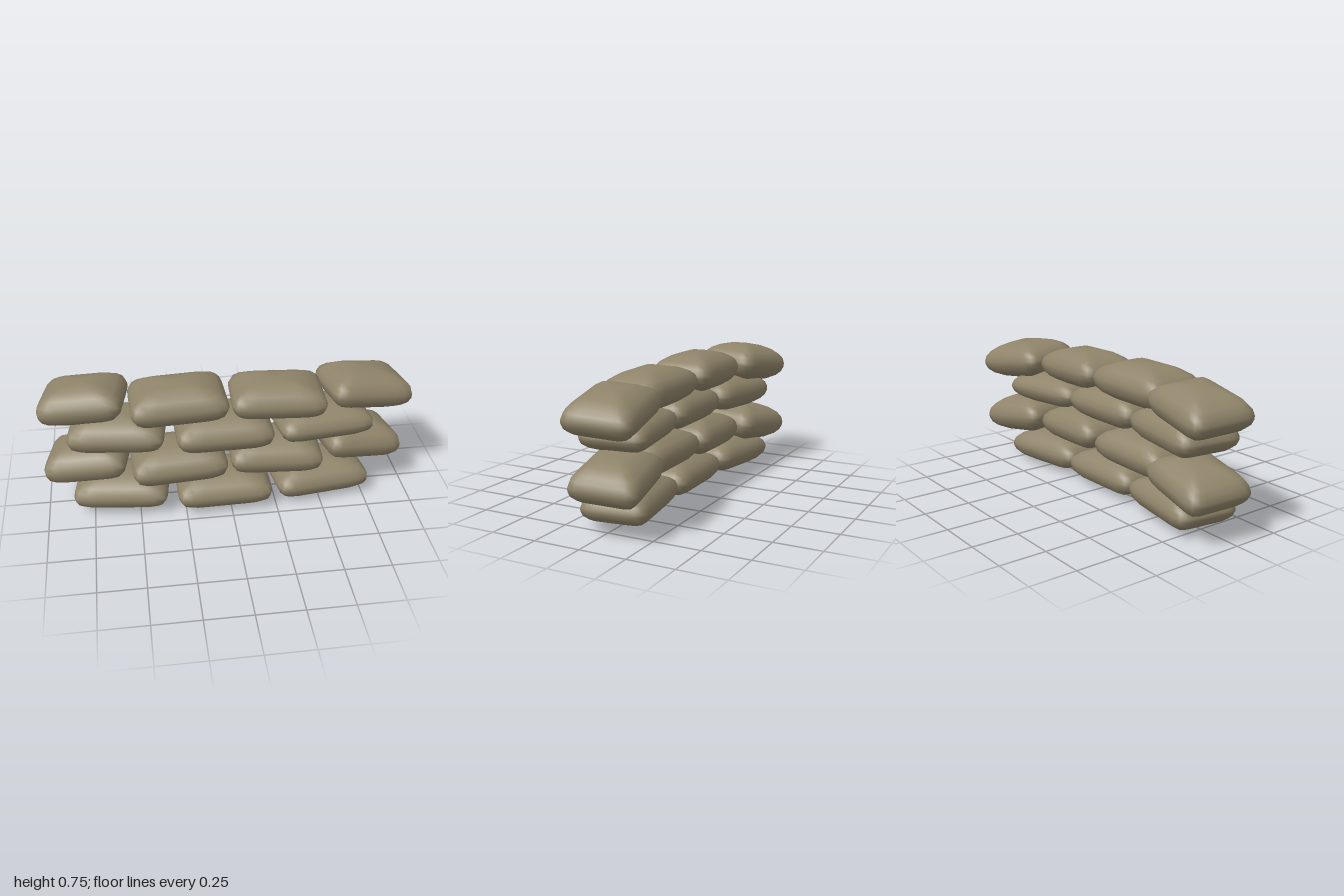
import * as THREE from 'three';
import { mergeVertices } from 'three/addons/utils/BufferGeometryUtils.js';

// Unit pillow: a lathe squared off in plan, with tapered ends and nearly flat top and bottom
function pillowGeometry() {
  const half = [[0, 1.0], [0.35, 0.98], [0.61, 0.84], [0.83, 0.61], [0.95, 0.37], [1, 0.09]];
  const profile = [
    ...half.map(([s, y]) => new THREE.Vector2(s, -y)),
    ...half.slice().reverse().map(([s, y]) => new THREE.Vector2(s, y)),
  ];
  const geometry = new THREE.LatheGeometry(profile, 40);
  const pos = geometry.attributes.position;
  const p = 10;
  for (let i = 0; i < pos.count; i++) {
    const x = pos.getX(i), z = pos.getZ(i), r = Math.hypot(x, z);
    if (r < 1e-6) continue;
    const k = 1 / Math.pow(Math.abs(x / r) ** p + Math.abs(z / r) ** p, 1 / p);
    pos.setX(i, x * k);
    pos.setZ(i, z * k);
  }
  geometry.deleteAttribute('uv');
  geometry.deleteAttribute('normal');
  return mergeVertices(geometry, 1e-4);
}

// Each bag: centre x, y, z, size x, y, z, then yaw, roll, pitch
const rows = [
  [
    [-0.587, 0.107, 0.01, 0.51, 0.205, 0.35, -0.14, 0.02, 0],
    [-0.037, 0.105, 0.055, 0.515, 0.21, 0.365, 0.02, 0, 0],
    [0.503, 0.105, 0.018, 0.525, 0.205, 0.35, 0.14, -0.01, 0],
  ],
  [
    [-0.763, 0.265, -0.045, 0.445, 0.22, 0.35, -0.17, 0.13, -0.06],
    [-0.278, 0.28, 0.045, 0.51, 0.22, 0.355, 0.04, 0.03, 0],
    [0.253, 0.292, 0.04, 0.5, 0.215, 0.35, -0.03, -0.03, 0],
    [0.733, 0.283, -0.045, 0.435, 0.22, 0.35, 0.17, -0.14, -0.06],
  ],
  [
    [-0.593, 0.477, 0.01, 0.51, 0.21, 0.35, -0.14, 0.02, 0],
    [-0.035, 0.478, 0.06, 0.515, 0.215, 0.365, 0.02, 0, 0],
    [0.505, 0.468, 0.018, 0.52, 0.19, 0.35, 0.14, -0.02, 0],
  ],
  [
    [-0.763, 0.634, -0.045, 0.445, 0.22, 0.35, -0.17, 0.12, -0.06],
    [-0.27, 0.643, 0.037, 0.51, 0.22, 0.345, 0.04, 0.02, 0],
    [0.26, 0.632, 0.04, 0.5, 0.21, 0.335, -0.03, -0.03, 0],
    [0.753, 0.61, -0.04, 0.46, 0.215, 0.35, 0.16, -0.14, -0.06],
  ],
];

export function createModel() {
  const group = new THREE.Group();
  group.name = 'sandbagWall';
  const geometry = pillowGeometry();
  geometry.computeVertexNormals();
  const material = new THREE.MeshStandardMaterial({ color: 0x8f846a });

  // Curved wall of four staggered courses
  rows.forEach((row, r) => {
    const course = new THREE.Group();
    course.name = `course${r + 1}`;
    row.forEach(([x, y, z, w, h, d, yaw, roll, pitch], i) => {
      const bag = new THREE.Mesh(geometry, material);
      bag.name = `sandbag${r + 1}_${i + 1}`;
      bag.position.set(x, y, z);
      bag.scale.set(w / 2, h / 2, d / 2);
      bag.rotation.set(pitch, yaw, roll, 'YXZ');
      course.add(bag);
    });
    group.add(course);
  });
  return group;
}
